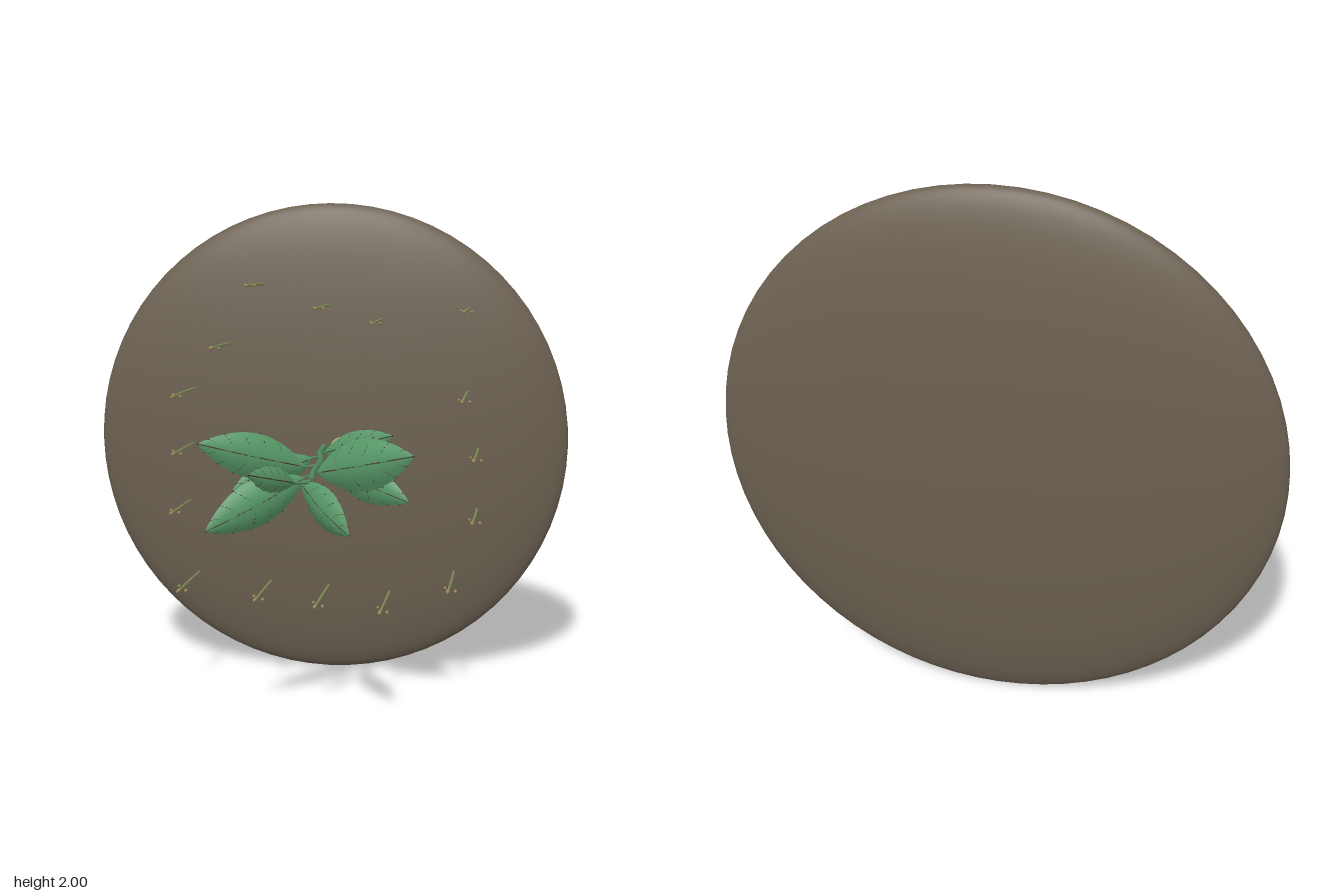
import * as THREE from 'three';

const V = (x, y, z) => new THREE.Vector3(x, y, z);
const mat = (name, color, side = THREE.FrontSide) => {
  const m = new THREE.MeshStandardMaterial({ color, side });
  m.name = name;
  return m;
};

const soil = mat('soil brown', 0x6b6051);
const leafGreen = mat('leaf green', 0x589a69, THREE.DoubleSide);
const stemGreen = mat('stem green', 0x4f875a);
const veinBrown = mat('vein brown', 0x4a3024);
const grassGreen = mat('grass green', 0x7f8c57);
const strawTan = mat('straw tan', 0x9c865a);
const seedTan = mat('seed tan', 0xb8a378);

function add(parent, name, geometry, material) {
  const mesh = new THREE.Mesh(geometry, material);
  mesh.name = name;
  parent.add(mesh);
  return mesh;
}

function ellipsoid(parent, name, material, p, r, detail = 12) {
  const mesh = add(parent, name, new THREE.SphereGeometry(1, detail, Math.ceil(detail * 0.7)), material);
  mesh.position.copy(p);
  mesh.scale.copy(r);
  return mesh;
}

const tube = (points, radius, segments = 8, sides = 6) =>
  new THREE.TubeGeometry(new THREE.CatmullRomCurve3(points), segments, radius, sides);

// Domed leaf blade from base to tip, with raised veins underneath
function makeLeaf(base, tip, width) {
  const g = new THREE.Group();
  g.name = 'leaf';
  const along = tip.clone().sub(base);
  const length = along.length();
  const dir = along.clone().normalize();
  const side = V(0, 1, 0).addScaledVector(dir, -dir.y).normalize();
  const up = side.clone().cross(dir).normalize();
  if (up.z < 0) up.negate();

  // t runs base to tip, s runs edge to edge (-1..1)
  const at = (t, s, lift = 0) => {
    const w = 0.5 * width * Math.pow(Math.max(0, Math.sin(Math.PI * Math.pow(t, 0.95))), 0.85);
    const dome = 0.17 * width * Math.sin(Math.PI * t) * (1 - s * s);
    return base.clone()
      .addScaledVector(dir, t * length)
      .addScaledVector(side, s * w)
      .addScaledVector(up, dome + lift - 0.05 * width * Math.sin(Math.PI * t));
  };

  const nu = 20, nv = 10;
  const blade = new THREE.PlaneGeometry(1, 1, nu, nv);
  const pos = blade.attributes.position;
  for (let i = 0; i < pos.count; i++) {
    const p = at(pos.getX(i) + 0.5, pos.getY(i) * 2);
    pos.setXYZ(i, p.x, p.y, p.z);
  }
  // keep the upper face as the front
  if (dir.clone().cross(side).dot(up) < 0) {
    const idx = blade.index.array;
    for (let i = 0; i < idx.length; i += 3) [idx[i], idx[i + 1]] = [idx[i + 1], idx[i]];
  }
  blade.computeVertexNormals();
  add(g, 'blade', blade, leafGreen);

  const rib = [0, 0.2, 0.4, 0.6, 0.8, 1].map(t => at(t, 0, -0.003));
  add(g, 'midrib', tube(rib, 0.0035, 16), veinBrown);
  for (const t of [0.18, 0.34, 0.5, 0.66, 0.8]) {
    for (const s of [-1, 1]) {
      const path = [0, 0.35, 0.7, 1.05].map(k => at(t + 0.12 * k, s * k, -0.002));
      add(g, 'sideVein', tube(path, 0.0022, 6, 5), veinBrown);
    }
  }
  return g;
}

// Thin stalk with a spikelet at its end and loose grains beside it
function makeGrass(x, y, tip, i) {
  const g = new THREE.Group();
  g.name = 'grassStalk';
  const path = [V(x + 0.01, y, -0.43), V(x + 0.004, y + 0.002, -0.3), V(x - 0.007, y, tip - 0.02)];
  add(g, 'stalk', tube(path, 0.0055), grassGreen);
  ellipsoid(g, 'spikelet', strawTan, V(x - 0.008, y, tip - 0.03), V(0.008, 0.006, 0.03), 8);
  ellipsoid(g, 'grain', strawTan, V(x + 0.022, y, tip - 0.035), V(0.007, 0.006, 0.016), 8);
  ellipsoid(g, 'grain', strawTan, V(x - 0.02, y + 0.002, tip - 0.07 - 0.01 * (i % 3)), V(0.006, 0.005, 0.014), 8);
  return g;
}

export function createModel() {
  const model = new THREE.Group();
  model.name = 'plantOnDisc';

  // Lens-shaped ground
  ellipsoid(model, 'groundDisc', soil, V(0, 1, -0.52), V(1, 1, 0.137), 72).rotation.x = Math.PI / 2;
  model.children[0].scale.set(1, 0.137, 1);

  // Seed resting at the foot of the stem
  ellipsoid(model, 'seed', seedTan, V(0.08, 1.003, -0.365), V(0.06, 0.045, 0.065), 24);

  // Main stem
  const stem = [V(-0.01, 1, -0.43), V(-0.004, 1, -0.22), V(0.025, 1.002, -0.02), V(0.03, 1.006, 0.2), V(0.05, 1.012, 0.43)];
  add(model, 'stem', tube(stem, 0.0125, 32, 10), stemGreen);

  // Leaves alternate along the stem: base, tip, width
  const leaves = [
    [V(0.01, 1, -0.23), V(0.30, 1.10, -0.08), 0.11],
    [V(-0.02, 1, -0.11), V(-0.31, 0.89, 0.06), 0.14],
    [V(0.04, 1, 0.0), V(0.38, 0.89, 0.17), 0.15],
    [V(-0.02, 1, 0.09), V(-0.39, 1.11, 0.28), 0.17],
    [V(0.04, 1, 0.21), V(0.41, 1.11, 0.44), 0.19],
    [V(0.01, 1, 0.30), V(-0.32, 0.83, 0.48), 0.17],
    [V(0.01, 1, 0.40), V(0.20, 0.85, 0.56), 0.14],
    [V(0, 1.01, 0.46), V(-0.13, 1.07, 0.65), 0.09],
  ];
  for (const [base, tip, width] of leaves) {
    const leaf = makeLeaf(base, tip, width);
    const root = V(base.z > 0.35 ? 0.045 : 0.02, 1.005, Math.min(base.z - 0.02, 0.42));
    add(leaf, 'petiole', tube([root, base, base.clone().lerp(tip, 0.06)], 0.005), stemGreen);
    model.add(leaf);
  }

  // Ring of grass: x, y, tip z
  const grass = [
    [-0.28, 1.67, -0.14], [0, 1.585, -0.09], [0.22, 1.53, -0.09], [0.57, 1.575, -0.12],
    [-0.42, 1.425, -0.11], [-0.57, 1.235, -0.07], [0.57, 1.235, -0.06], [-0.58, 1.0, -0.1],
    [0.62, 1.0, -0.1], [-0.6, 0.75, -0.13], [0.62, 0.745, -0.13], [-0.57, 0.43, -0.1],
    [-0.25, 0.405, -0.1], [0, 0.395, -0.07], [0.26, 0.375, -0.09], [0.53, 0.47, -0.1],
  ];
  grass.forEach(([x, y, tip], i) => model.add(makeGrass(x, y, tip, i)));

  return model;
}
